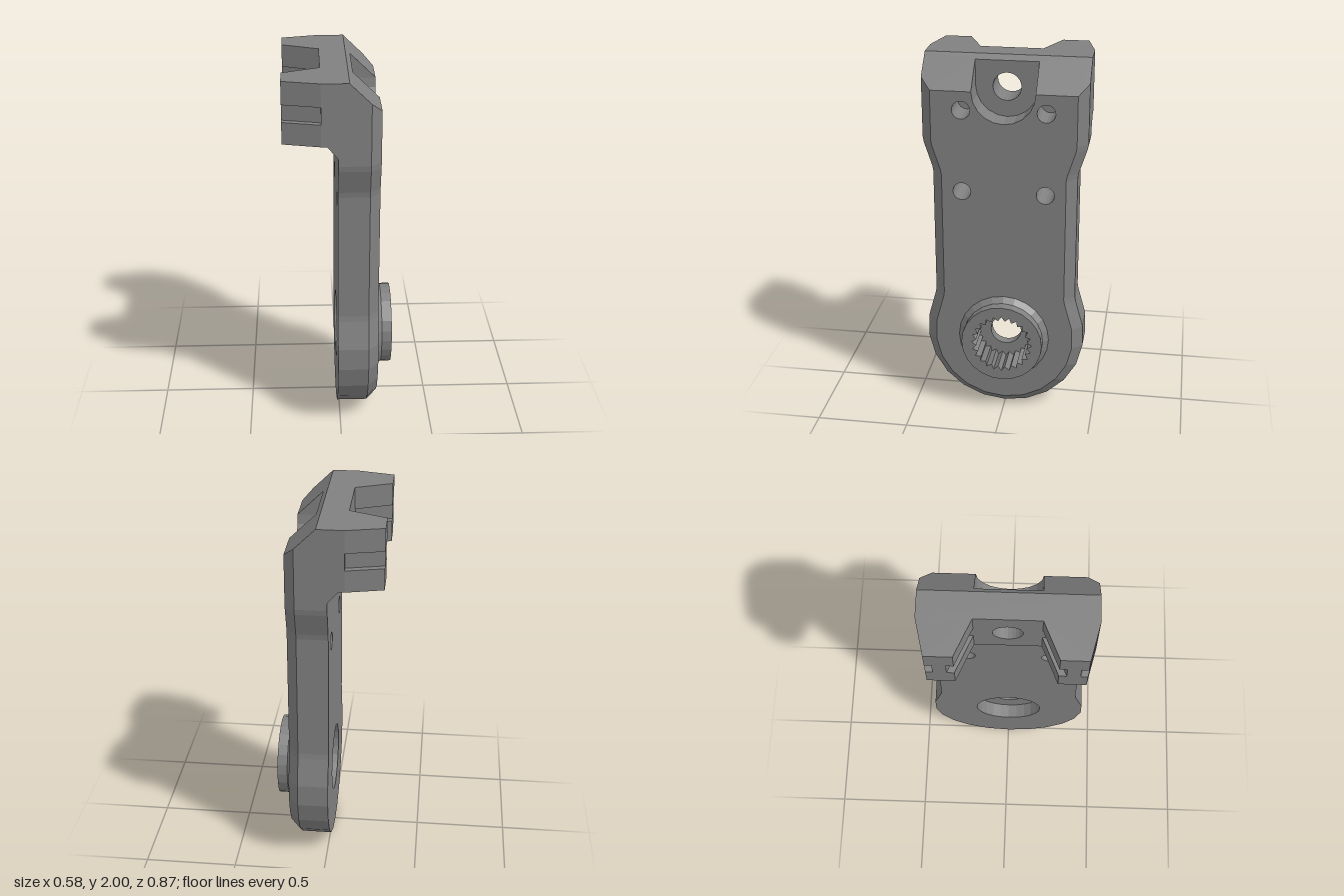
import * as THREE from 'three';

// Key positions along x (thickness), and along y (height)
const BACK = -0.015, BEVEL = 0.15, FRONT = 0.205, POCKET = 0.067, HEAD = -0.1, TIP = -0.295;
const TOP = 2, UNDER = 1.675, HUB_Y = 0.437, PIN_Y = 1.835, SLOPE_Y = 1.84;
const SLOT = [1.79, 1.88];

const slopeY = (x) => TOP - ((x - 0.04) / (FRONT - 0.04)) * (TOP - SLOPE_Y);
const atX = (x) => (z, y) => [x, y, z]; // plane facing sideways
const atY = (y) => (x, z) => [x, y, z]; // level plane
const atZ = (z) => (x, y) => [x, y, z]; // plane facing front or back
const onSlope = (x, z) => [x, slopeY(x), z];

// Closed circle of [z, y] points
const circle = (r, cz, cy, n = 24) =>
  Array.from({ length: n }, (_, i) => {
    const a = (i / n) * Math.PI * 2;
    return [cz + r * Math.cos(a), cy + r * Math.sin(a)];
  });
// Half outline of [z, y] points mirrored to the other side
const mirrored = (half) => [...half, ...half.filter((p) => p[0] > 1e-6).reverse().map(([z, y]) => [-z, y])];

// Collects flat faces and straight walls of one part
class Part {
  constructor() { this.pos = []; }

  face(place, outline, holes = []) {
    const vec = (loop) => loop.map(([u, v]) => new THREE.Vector2(u, v));
    const contour = vec(outline), inner = holes.map(vec);
    const all = [contour, ...inner].flat();
    for (const tri of THREE.ShapeUtils.triangulateShape(contour, inner))
      for (const i of tri) this.pos.push(...place(all[i].x, all[i].y));
    return this;
  }

  // Wall joining two matching paths, each laid out by its own placement
  wall(placeA, pathA, placeB, pathB = pathA, closed = false) {
    const n = pathA.length;
    for (let i = 0; i < (closed ? n : n - 1); i++) {
      const j = (i + 1) % n;
      const a = placeA(...pathA[i]), b = placeA(...pathA[j]);
      const c = placeB(...pathB[j]), d = placeB(...pathB[i]);
      this.pos.push(...a, ...b, ...c, ...a, ...c, ...d);
    }
    return this;
  }

  bore(loop, x0, x1) { return this.wall(atX(x0), loop, atX(x1), loop, true); }

  mesh(name, material) {
    const g = new THREE.BufferGeometry();
    g.setAttribute('position', new THREE.Float32BufferAttribute(this.pos, 3));
    g.computeVertexNormals();
    const m = new THREE.Mesh(g, material);
    m.name = name;
    return m;
  }
}

// Half outline of the plate below the head; inset gives the bevelled edge
function plateHalf(inset) {
  const pts = [[0.437, 1.57], [0.432, 1.54], [0.39, 1.41], [0.385, 1.38],
    [0.385, 0.69], [0.39, 0.66], [0.432, 0.51]].map(([z, y]) => [z - inset, y]);
  for (let i = 0; i <= 5; i++) {
    const a = THREE.MathUtils.degToRad(6.5 + i * 16.7);
    const r = 0.437 - inset;
    pts.push([i === 5 ? 0 : r * Math.cos(a), HUB_Y - r * Math.sin(a)]);
  }
  return pts;
}

export function createModel() {
  const grey = new THREE.MeshStandardMaterial({ color: 0x808080, side: THREE.DoubleSide });
  grey.name = 'grey metal';
  const group = new THREE.Group();
  group.name = 'leverBracket';

  const outer = plateHalf(0), inner = plateHalf(0.055);
  const through = [-0.222, 0.222].map((z) => circle(0.048, z, 1.293, 16));
  const blind = [-0.222, 0.222].map((z) => circle(0.048, z, 1.74, 16));
  const pinHole = circle(0.075, 0, PIN_Y);
  const hubHole = circle(0.085, 0, HUB_Y);
  const counterbore = circle(0.187, 0, HUB_Y);
  const hubBase = circle(0.25, 0, HUB_Y), hubRim = circle(0.222, 0, HUB_Y);

  // Rounded lower edge of the pocket
  const pocketArc = Array.from({ length: 11 }, (_, i) => {
    const a = (i / 10) * Math.PI;
    return [0.167 * Math.cos(a), SLOPE_Y - 0.167 * Math.sin(a)];
  });
  const pocketTop = slopeY(POCKET);

  // Plate: front and back faces, side walls and bevel
  const plate = new Part();
  const bevelOuter = mirrored([[0.437, slopeY(BEVEL)], ...outer]);
  const bevelInner = mirrored([[0.382, SLOPE_Y], ...inner]);
  plate.face(atX(FRONT), [...bevelInner, ...pocketArc.slice().reverse()], [...through, ...blind, hubBase]);
  plate.face(atX(BACK), mirrored([[0.437, 1.61], ...outer]), [...through, counterbore]);
  plate.wall(atX(BACK), mirrored(outer), atX(BEVEL));
  plate.wall(atX(BEVEL), bevelOuter, atX(FRONT), bevelInner);
  group.add(plate.mesh('plate', grey));

  // Bolt holes: two go through, two stop inside
  const holes = new Part();
  through.forEach((h) => holes.bore(h, BACK, FRONT));
  blind.forEach((h) => holes.bore(h, 0.03, FRONT).face(atX(0.03), h));
  group.add(holes.mesh('boltHoles', grey));

  // Head: sides, sloped top edge, underside and rear wall
  const head = new Part();
  const plan = (x) => [[x, 0.437], [HEAD, 0.437], [TIP, 0.39], [TIP, 0.25], [HEAD, 0.167],
    [HEAD, -0.167], [TIP, -0.25], [TIP, -0.39], [HEAD, -0.437], [x, -0.437]];
  for (const z of [0.437, -0.437])
    head.face(atZ(z), [[BACK, 1.57], [BACK, 1.61], [-0.07, UNDER], [HEAD, UNDER], [HEAD, TOP],
      [0.04, TOP], [BEVEL, slopeY(BEVEL)], [BEVEL, 1.57]]);
  head.face(atY(TOP), plan(0.04));
  head.face(atY(UNDER), plan(-0.07));
  head.wall(atX(BACK), [[0.437, 1.61], [-0.437, 1.61]], atX(-0.07), [[0.437, UNDER], [-0.437, UNDER]]);
  head.face(onSlope, [[0.04, 0.437], [BEVEL, 0.437], [FRONT, 0.382], [FRONT, 0.167], [POCKET, 0.167],
    [POCKET, -0.167], [FRONT, -0.167], [FRONT, -0.382], [BEVEL, -0.437], [0.04, -0.437]]);
  head.face(atX(HEAD), [[0.167, UNDER], [0.167, TOP], [-0.167, TOP], [-0.167, UNDER]], [pinHole]);
  group.add(head.mesh('head', grey));

  // Pocket with the pin hole through its floor
  const pocket = new Part();
  pocket.wall(atX(POCKET), pocketArc, atX(FRONT));
  pocket.face(atX(POCKET), [[0.167, pocketTop], ...pocketArc, [-0.167, pocketTop]], [pinHole]);
  for (const z of [0.167, -0.167])
    pocket.face(atZ(z), [[POCKET, SLOPE_Y], [POCKET, pocketTop], [FRONT, SLOPE_Y]]);
  pocket.bore(pinHole, HEAD, POCKET);
  group.add(pocket.mesh('pocket', grey));

  // Rear arms with a slot along the inner and outer faces
  for (const [s, name] of [[1, 'leftArm'], [-1, 'rightArm']]) {
    const side = (pts) => pts.map(([x, z]) => [x, z * s]);
    const full = side([[HEAD, 0.437], [TIP, 0.39], [TIP, 0.25], [HEAD, 0.167]]);
    const outSlot = side([[HEAD, 0.437], [HEAD, 0.402], [TIP, 0.355], [TIP, 0.39]]);
    const inSlot = side([[HEAD, 0.167], [HEAD, 0.205], [TIP, 0.288], [TIP, 0.25]]);
    const web = [...outSlot.slice(0, 3), inSlot[2], inSlot[1], inSlot[0]];
    const arm = new Part();
    arm.wall(atY(UNDER), full, atY(SLOT[0]));
    arm.wall(atY(SLOT[0]), web, atY(SLOT[1]));
    arm.wall(atY(SLOT[1]), full, atY(TOP));
    for (const y of SLOT) arm.face(atY(y), outSlot).face(atY(y), inSlot);
    group.add(arm.mesh(name, grey));
  }

  // Splined hub, with a counterbore behind it
  const teeth = 24, splineFloor = 0.12, hubFace = 0.29;
  const spline = Array.from({ length: teeth * 2 }, (_, i) => {
    const a = (i / (teeth * 2)) * Math.PI * 2, r = i % 2 ? 0.142 : 0.167;
    return [r * Math.cos(a), HUB_Y + r * Math.sin(a)];
  });
  const hub = new Part();
  hub.wall(atX(FRONT), hubBase, atX(0.235), hubRim, true);
  hub.bore(hubRim, 0.235, hubFace);
  hub.face(atX(hubFace), hubRim, [spline]);
  hub.bore(spline, splineFloor, hubFace);
  hub.face(atX(splineFloor), spline, [hubHole]);
  hub.bore(hubHole, 0.065, splineFloor);
  hub.face(atX(0.065), counterbore, [hubHole]);
  hub.bore(counterbore, BACK, 0.065);
  group.add(hub.mesh('splinedHub', grey));

  return group;
}
